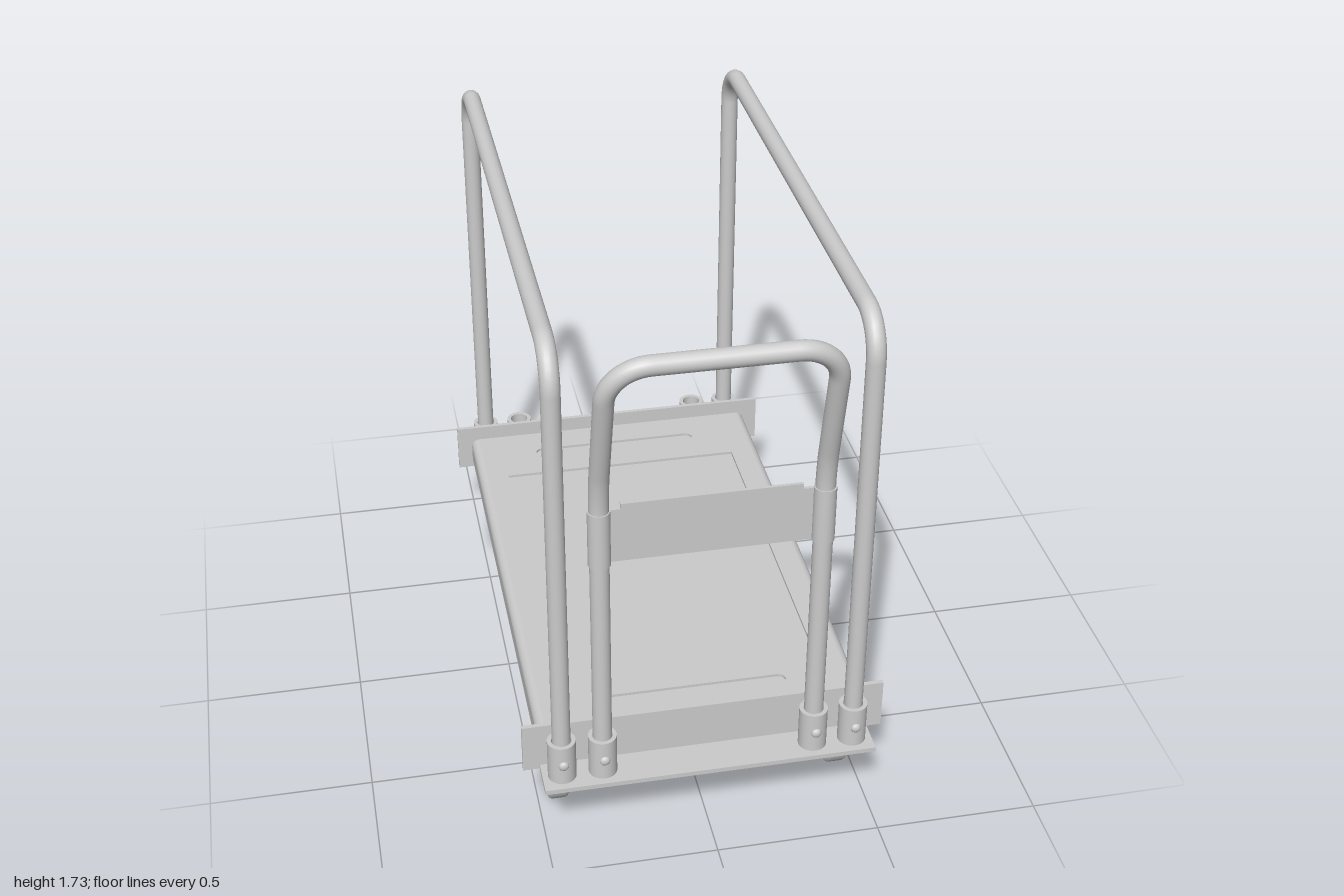
import * as THREE from 'three';

const grey = new THREE.MeshStandardMaterial({ color: 0xcccccc, side: THREE.DoubleSide });
const V = (x, y, z) => new THREE.Vector3(x, y, z);

const RAIL_X = 0.445, HANDLE_X = 0.322, FRONT_Z = 0.848, BACK_Z = -0.935;

function add(parent, name, geometry, x = 0, y = 0, z = 0) {
  const mesh = new THREE.Mesh(geometry, grey);
  mesh.name = name;
  mesh.position.set(x, y, z);
  parent.add(mesh);
  return mesh;
}

// Polyline whose inner corners are rounded by the given radii
function bentPath(points, radii) {
  const path = new THREE.CurvePath();
  let last = points[0];
  for (let i = 1; i < points.length - 1; i++) {
    const p = points[i], r = radii[i - 1], k = r * 0.448;
    const a = points[i - 1].clone().sub(p).normalize();
    const b = points[i + 1].clone().sub(p).normalize();
    const start = p.clone().addScaledVector(a, r), end = p.clone().addScaledVector(b, r);
    path.add(new THREE.LineCurve3(last, start));
    path.add(new THREE.CubicBezierCurve3(start, p.clone().addScaledVector(a, k), p.clone().addScaledVector(b, k), end));
    last = end;
  }
  path.add(new THREE.LineCurve3(last, points[points.length - 1]));
  return path;
}

const pipe = (points, radii, r) => new THREE.TubeGeometry(bentPath(points, radii), 200, r, 20);

// Closed rectangle or stadium outline in the deck plane
function rect(x0, y0, x1, y1) {
  return new THREE.Path([[x0, y0], [x1, y0], [x1, y1], [x0, y1]].map(p => new THREE.Vector2(...p)));
}
function stadium(cy, half, r) {
  const p = new THREE.Path();
  p.absarc(half - r, cy, r, -Math.PI / 2, Math.PI / 2);
  p.absarc(-half + r, cy, r, Math.PI / 2, Math.PI * 1.5);
  p.closePath();
  return p;
}

function makeDeck() {
  const deck = new THREE.Group();
  deck.name = 'deck';
  const zBack = -0.877, zFront = 0.782, w = 0.505, r = 0.028, top = 0.345, floor = 0.336;
  // Slab with rounded long edges and a shallow seat for the top sheet
  const s = new THREE.Shape();
  s.moveTo(-w + 0.008, 0.255);
  s.lineTo(w - 0.008, 0.255);
  s.quadraticCurveTo(w, 0.255, w, 0.263);
  s.lineTo(w, top - r);
  s.absarc(w - r, top - r, r, 0, Math.PI / 2);
  s.lineTo(w - r, floor);
  s.lineTo(-w + r, floor);
  s.lineTo(-w + r, top);
  s.absarc(-w + r, top - r, r, Math.PI / 2, Math.PI);
  s.lineTo(-w, 0.263);
  s.quadraticCurveTo(-w, 0.255, -w + 0.008, 0.255);
  add(deck, 'deckSlab', new THREE.ExtrudeGeometry(s, { depth: zFront - zBack, bevelEnabled: false, curveSegments: 10 }), 0, 0, zBack);
  // Top sheet with the recessed panel and the two hand slots (shape y = -z)
  const sheet = new THREE.Shape(rect(-w + r, -zFront, w - r, -zBack).getPoints());
  sheet.holes.push(rect(-0.405, -0.53, 0.405, 0.62), stadium(0.75, 0.285, 0.022), stadium(-0.655, 0.285, 0.022));
  const g = new THREE.ExtrudeGeometry(sheet, { depth: top - floor, bevelEnabled: false });
  add(deck, 'deckTopSheet', g.rotateX(-Math.PI / 2), 0, floor, 0);
  return deck;
}

// Angle bracket across one end of the deck; side is +1 front, -1 back
function makeEndBracket(plateZ, edgeZ, side) {
  const b = new THREE.Group();
  b.name = side > 0 ? 'frontBracket' : 'backBracket';
  add(b, 'uprightPlate', new THREE.BoxGeometry(1.11, 0.163, 0.014), 0, 0.3135, plateZ);
  add(b, 'shelfPlate', new THREE.BoxGeometry(1.01, 0.015, Math.abs(edgeZ - plateZ)), 0, 0.2385, (edgeZ + plateZ) / 2);
  return b;
}

// Hollow post socket with a cross bolt
function makeSocket(x, z) {
  const s = new THREE.Group();
  s.name = 'postSocket';
  s.position.set(x, 0.245, z);
  const ring = [[0.03, 0], [0.043, 0], [0.043, 0], [0.043, 0.135], [0.043, 0.135], [0.03, 0.135], [0.03, 0.135], [0.03, 0]];
  add(s, 'socketTube', new THREE.LatheGeometry(ring.map(p => new THREE.Vector2(...p)), 28));
  add(s, 'crossBolt', new THREE.CylinderGeometry(0.008, 0.008, 0.092, 12).rotateX(Math.PI / 2), 0, 0.07, 0);
  for (const d of [-1, 1])
    add(s, 'boltHead', new THREE.SphereGeometry(0.016, 14, 8).scale(1, 1, 0.65), 0, 0.07, d * 0.042);
  return s;
}

function makeHandle() {
  const h = new THREE.Group();
  h.name = 'pushHandle';
  const bend = 1.25, topY = 1.705, topZ = 0.968;
  const pts = [
    V(-HANDLE_X, 0.25, FRONT_Z), V(-HANDLE_X, bend, FRONT_Z), V(-HANDLE_X + 0.005, topY, topZ),
    V(HANDLE_X - 0.005, topY, topZ), V(HANDLE_X, bend, FRONT_Z), V(HANDLE_X, 0.25, FRONT_Z)];
  add(h, 'handleTube', pipe(pts, [0.07, 0.12, 0.12, 0.07], 0.029));
  for (const side of [-1, 1])
    add(h, 'boardSleeve', new THREE.CylinderGeometry(0.033, 0.033, 0.18, 20), side * HANDLE_X, 1.095, FRONT_Z);
  // Cross board with a slightly raised middle
  const s = new THREE.Shape();
  [[-0.3, 1.005], [0.3, 1.005], [0.3, 1.18], [0.26, 1.18], [0.26, 1.197], [-0.26, 1.197], [-0.26, 1.18], [-0.3, 1.18]]
    .forEach((p, i) => (i ? s.lineTo(...p) : s.moveTo(...p)));
  add(h, 'crossBoard', new THREE.ExtrudeGeometry(s, { depth: 0.01, bevelEnabled: false }), 0, 0, 0.835);
  return h;
}

function makeCaster(x, z) {
  const c = new THREE.Group();
  c.name = 'caster';
  c.position.set(x, 0.113, z);
  // Wheel: thick tyre with a dished hub on both sides
  const half = [[0, 0.012], [0.02, 0.012], [0.045, 0.012], [0.045, 0.012], [0.057, 0.03], [0.057, 0.03],
    [0.104, 0.03], [0.11, 0.027], [0.113, 0.02]];
  const profile = [...half.map(([r, h]) => [r, -h]), ...half.slice().reverse()];
  add(c, 'wheel', new THREE.LatheGeometry(profile.map(p => new THREE.Vector2(...p)), 40).rotateZ(Math.PI / 2));
  add(c, 'axle', new THREE.CylinderGeometry(0.011, 0.011, 0.085, 12).rotateZ(Math.PI / 2));
  // Fork arms taper from the swivel to the axle
  const arm = new THREE.Shape();
  arm.moveTo(0.07, 0.128);
  arm.lineTo(-0.005, 0.128);
  arm.lineTo(-0.02, 0.0);
  arm.absarc(0, 0, 0.02, Math.PI, Math.PI * 2);
  arm.lineTo(0.07, 0.128);
  for (const side of [-1, 1])
    add(c, 'forkArm', new THREE.ExtrudeGeometry(arm, { depth: 0.004, bevelEnabled: false }).translate(0, 0, -0.002).rotateY(Math.PI / 2), side * 0.031, 0, 0);
  add(c, 'forkCrown', new THREE.BoxGeometry(0.066, 0.008, 0.075), 0, 0.126, -0.0325);
  add(c, 'swivel', new THREE.CylinderGeometry(0.03, 0.03, 0.012, 20), 0, 0.133, -0.032);
  add(c, 'mountPlate', new THREE.BoxGeometry(0.09, 0.008, 0.1), 0, 0.139, -0.032);
  return c;
}

export function createModel() {
  const cart = new THREE.Group();
  cart.name = 'platformCart';
  cart.add(makeDeck(), makeEndBracket(0.787, 0.912, 1), makeEndBracket(-0.883, -1.0, -1), makeHandle());
  for (const side of [-1, 1]) {
    const x = side * RAIL_X, top = 1.692;
    // Side hoop rail
    const pts = [V(x, 0.25, FRONT_Z), V(x, top, FRONT_Z), V(x, top, BACK_Z), V(x, 0.25, BACK_Z)];
    add(cart, side > 0 ? 'leftRail' : 'rightRail', pipe(pts, [0.115, 0.115], 0.028));
    for (const z of [FRONT_Z, BACK_Z]) cart.add(makeSocket(x, z), makeSocket(side * HANDLE_X, z));
    for (const z of [0.637, -0.722]) cart.add(makeCaster(side * 0.441, z));
  }
  return cart;
}
